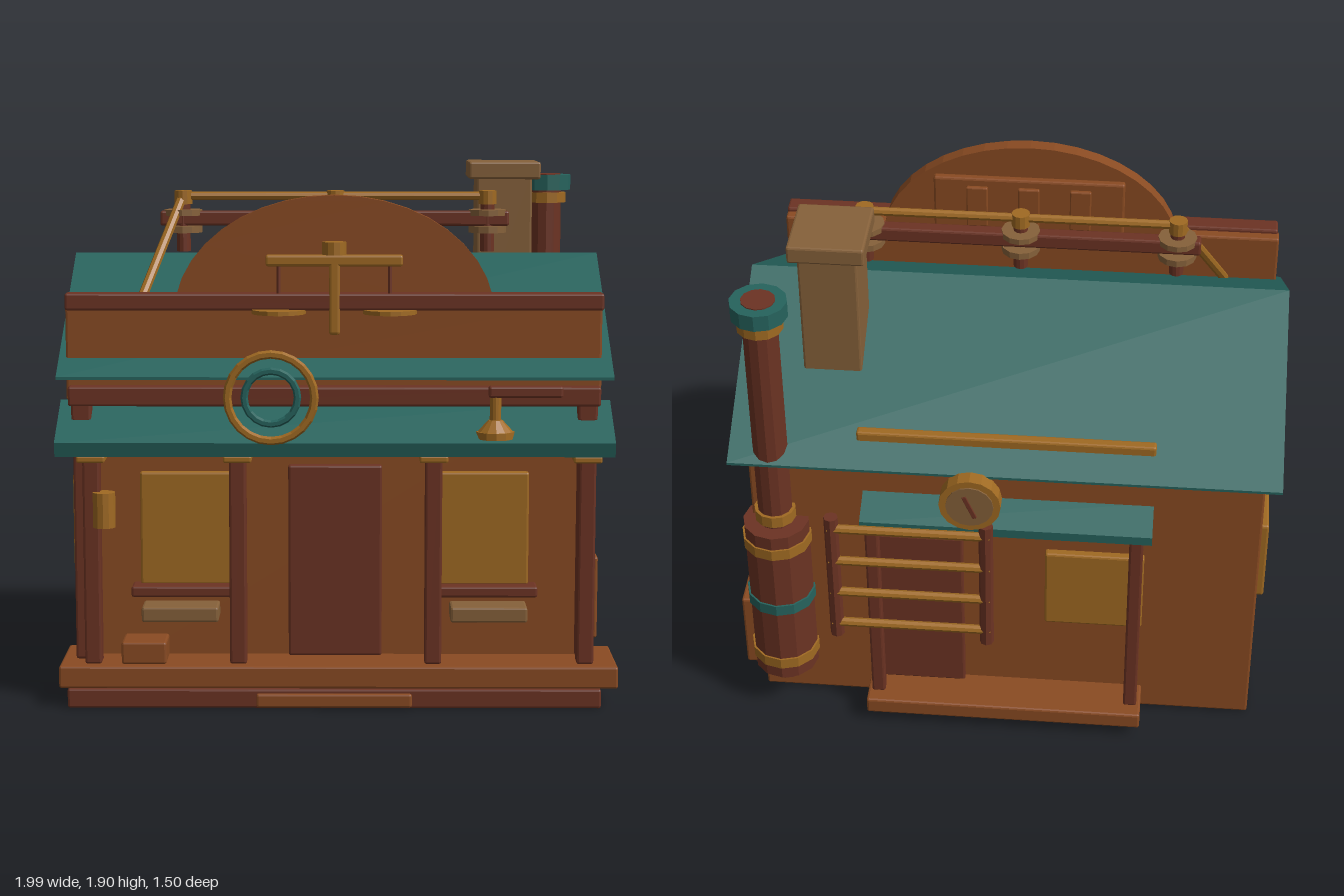
import * as THREE from 'three';
import { RoundedBoxGeometry } from 'three/addons/geometries/RoundedBoxGeometry.js';

const mat = (name, color) => {
  const m = new THREE.MeshStandardMaterial({ color });
  m.name = name;
  return m;
};

export function createModel() {
  const root = new THREE.Group();
  root.name = 'townHouse';
  const wall = mat('wallWood', 0x8a4b22);
  const dark = mat('darkWood', 0x6c3323);
  const gold = mat('brass', 0xa06a22);
  const teal = mat('tealPaint', 0x26635d);
  const tan = mat('tanStone', 0x86613a);

  // Faceted mesh helper
  const add = (name, geo, m) => {
    const g = geo.index ? geo.toNonIndexed() : geo;
    g.computeVertexNormals();
    const mesh = new THREE.Mesh(g, m);
    mesh.name = name;
    root.add(mesh);
    return mesh;
  };
  // Chamfered box given by its ranges
  const box = (name, m, x0, x1, y0, y1, z0, z1) => {
    const s = [x1 - x0, y1 - y0, z1 - z0];
    const mesh = add(name, new RoundedBoxGeometry(...s, 1, Math.min(0.008, Math.min(...s) * 0.25)), m);
    mesh.position.set((x0 + x1) / 2, (y0 + y1) / 2, (z0 + z1) / 2);
    return mesh;
  };
  // Upright cylinder from y0 to y1
  const cyl = (name, m, x, z, y0, y1, r, rTop = r, sides = 12) => {
    const mesh = add(name, new THREE.CylinderGeometry(rTop, r, y1 - y0, sides), m);
    mesh.position.set(x, (y0 + y1) / 2, z);
    return mesh;
  };
  // Rod between two points
  const rod = (name, m, a, b, r) => {
    const p = new THREE.Vector3(...a), q = new THREE.Vector3(...b);
    const mesh = add(name, new THREE.CylinderGeometry(r, r, p.distanceTo(q), 8), m);
    mesh.position.copy(p).lerp(q, 0.5);
    mesh.quaternion.setFromUnitVectors(new THREE.Vector3(0, 1, 0), q.sub(p).normalize());
    return mesh;
  };
  // Side profile of [z, y] points extruded along x
  const alongX = (name, m, pts, x0, x1) => {
    const shape = new THREE.Shape(pts.map(([z, y]) => new THREE.Vector2(-z, y)));
    const mesh = add(name, new THREE.ExtrudeGeometry(shape, { depth: x1 - x0, bevelEnabled: false }), m);
    mesh.rotation.y = Math.PI / 2;
    mesh.position.x = x0;
    return mesh;
  };

  // Body and main roof
  box('body', wall, -0.935, 0.91, 0.01, 1.175, -0.58, 0.52);
  alongX('roof', teal, [[0.655, 1.165], [0.655, 1.175], [0, 1.565], [-0.67, 1.175], [-0.67, 1.165]], -0.99, 0.965);
  box('roofBattenBack', gold, -0.545, 0.515, 1.22, 1.265, -0.575, -0.535);

  // Porch floor, step and roof
  box('porchBase', dark, -0.96, 0.93, 0, 0.07, 0.39, 0.715);
  box('porchFloor', wall, -0.99, 0.99, 0.07, 0.15, 0.39, 0.71);
  box('frontStep', wall, -0.29, 0.26, 0.005, 0.055, 0.6, 0.728);
  alongX('porchRoof', teal, [[0.5, 1.075], [0.5, 1.025], [0.7, 0.9], [0.71, 0.95]], -0.993, 0.968);
  for (const x of [-0.87, -0.355, 0.335, 0.875]) {
    box('porchPost', dark, x - 0.03, x + 0.03, 0.15, 0.92, 0.61, 0.675);
    box('postCap', gold, x - 0.05, x + 0.05, 0.875, 0.9, 0.6, 0.685);
  }
  for (const x of [-0.91, 0.88]) {
    box('cornerPilaster', dark, x - 0.03, x + 0.03, 0.15, 1.08, 0.515, 0.6);
    box('beamBracket', dark, x - 0.035, x + 0.035, 1.01, 1.075, 0.54, 0.6);
  }

  // Door, windows, sills and shelves
  box('frontDoor', dark, -0.18, 0.155, 0.15, 0.845, 0.5, 0.55);
  for (const x of [-0.545, 0.515]) {
    box('frontWindow', gold, x - 0.165, x + 0.165, 0.41, 0.82, 0.5, 0.545);
    box('windowSill', dark, x - 0.195, x + 0.195, 0.375, 0.415, 0.5, 0.6);
  }
  for (const x of [-0.555, 0.528]) box('shelf', tan, x - 0.135, x + 0.135, 0.32, 0.375, 0.64, 0.755);
  box('porchCrate', wall, -0.77, -0.61, 0.15, 0.23, 0.54, 0.68);
  cyl('postLantern', gold, -0.825, 0.672, 0.645, 0.77, 0.04);
  for (const z of [0.195, -0.28]) {
    box('leftWindow', gold, 0.89, 0.94, 0.445, 0.785, z - 0.15, z + 0.15);
    box('rightWindow', gold, -0.97, -0.92, 0.445, 0.785, z - 0.15 + 0.03, z + 0.15 + 0.03);
  }

  // False front with arch and beams
  box('falseFront', wall, -0.965, 0.93, 1.08, 1.45, 0.5, 0.56);
  const arch = new THREE.Shape();
  for (let i = 0; i <= 20; i++) {
    const a = Math.PI * i / 20;
    arch[i ? 'lineTo' : 'moveTo'](0.565 * Math.cos(a), 0.42 * Math.sin(a));
  }
  add('arch', new THREE.ExtrudeGeometry(arch, { depth: 0.055, bevelEnabled: false }), wall).position.set(-0.015, 1.385, 0.502);
  box('upperBeam', dark, -0.96, 0.93, 1.405, 1.465, 0.54, 0.615);
  box('lowerBeam', dark, -0.955, 0.925, 1.065, 1.135, 0.54, 0.61);
  box('backPlaque', wall, -0.375, 0.345, 1.47, 1.7, 0.437, 0.47);
  for (const x of [-0.21, -0.015, 0.18]) box('plaqueStud', wall, x - 0.04, x + 0.04, 1.5, 1.67, 0.42, 0.44);

  // Balance scales
  box('scalePole', gold, -0.033, 0.005, 1.32, 1.6, 0.58, 0.62);
  box('scaleBeam', gold, -0.255, 0.225, 1.56, 1.6, 0.58, 0.62);
  cyl('scaleKnob', gold, -0.015, 0.6, 1.6, 1.645, 0.042);
  for (const x of [-0.21, 0.18]) {
    cyl('scalePan', gold, x, 0.6, 1.393, 1.408, 0.095, 0.095, 16);
    cyl('scaleChain', dark, x, 0.6, 1.4, 1.57, 0.008, 0.008, 6);
  }

  // Ring emblem
  add('emblemOuterRing', new THREE.TorusGeometry(0.152, 0.015, 6, 24), gold).position.set(-0.235, 1.11, 0.71);
  add('emblemInnerRing', new THREE.TorusGeometry(0.093, 0.013, 6, 20), teal).position.set(-0.235, 1.11, 0.705);

  // Porch lamp on its arm
  box('lampArm', dark, 0.525, 0.785, 1.105, 1.145, 0.635, 0.68);
  cyl('lampStem', gold, 0.55, 0.655, 1.02, 1.11, 0.02);
  cyl('lampShade', gold, 0.55, 0.655, 0.985, 1.025, 0.062, 0.025);
  cyl('lampRim', gold, 0.55, 0.655, 0.96, 0.985, 0.068);

  // Roof rail with insulators and wire rods
  box('ridgeRail', dark, -0.665, 0.63, 1.67, 1.725, 0.035, 0.09);
  for (const x of [-0.58, -0.015, 0.55]) {
    cyl('insulatorStub', dark, x, 0.065, 1.575, 1.76, 0.026);
    cyl('insulatorLowerDisc', tan, x, 0.065, 1.645, 1.67, 0.07);
    cyl('insulatorUpperDisc', tan, x, 0.065, 1.708, 1.73, 0.07);
    cyl('insulatorCap', gold, x, 0.065, 1.75, 1.8, 0.033);
  }
  rod('wireRod', gold, [-0.6, 1.78, 0.065], [0.57, 1.78, 0.065], 0.016);
  rod('slantedRod', gold, [-0.58, 1.785, 0.065], [-0.765, 1.28, 0.48], 0.018);

  // Chimney
  box('chimney', tan, 0.52, 0.73, 1.25, 1.85, -0.345, -0.115);
  box('chimneyCap', tan, 0.49, 0.76, 1.835, 1.9, -0.375, -0.09);

  // Boiler tank and stove pipe
  const px = 0.82, pz = -0.6;
  cyl('stovePipe', dark, px, pz, 0.8, 1.8, 0.063);
  cyl('pipeCap', teal, px, pz, 1.775, 1.835, 0.1);
  cyl('pipeMouth', dark, px, pz, 1.83, 1.839, 0.06);
  cyl('pipeBand', gold, px, pz, 1.725, 1.765, 0.082);
  cyl('pipeCollar', gold, px, pz, 0.885, 0.93, 0.075);
  cyl('tank', dark, px, pz, 0.18, 0.87, 0.12);
  cyl('tankFoot', dark, px, pz, 0.12, 0.18, 0.06);
  for (const [y, m] of [[0.255, gold], [0.525, teal], [0.795, gold]]) cyl('tankBand', m, px, pz, y - 0.022, y + 0.022, 0.127);

  // Crate on the left wall with items on top
  box('sideCrate', wall, 0.9, 0.995, 0.07, 0.39, -0.53, -0.05);
  box('crateTin', gold, 0.9, 0.975, 0.39, 0.46, -0.265, -0.13);
  cyl('crateBottle', gold, 0.945, -0.395, 0.43, 0.56, 0.036);

  // Back porch
  box('backPlatform', wall, -0.53, 0.5, 0.05, 0.115, -0.745, -0.57);
  box('backDoor', dark, 0.14, 0.455, 0.11, 0.82, -0.605, -0.57);
  box('backWindow', gold, -0.52, -0.16, 0.44, 0.775, -0.61, -0.57);
  alongX('backAwning', teal, [[-0.57, 1.01], [-0.695, 0.955], [-0.695, 0.92], [-0.57, 0.975]], -0.545, 0.5);
  for (const x of [-0.49, 0.46]) box('backPost', dark, x - 0.025, x + 0.025, 0.11, 0.94, -0.69, -0.645);

  // Rack with rungs
  for (const x of [0.045, 0.6]) cyl('rackRail', dark, x, -0.705, 0.42, 0.98, 0.026, 0.026, 8);
  for (let i = 0; i < 4; i++) {
    const y = 0.48 + i * 0.15;
    rod('rackRung', gold, [0.03, y, -0.71], [0.615, y, -0.71], 0.017);
  }

  // Gauge
  const disc = (name, m, r, z, d) => {
    const g = cyl(name, m, 0.1, z, 1.08 - d / 2, 1.08 + d / 2, r, r, 16);
    g.rotation.x = Math.PI / 2;
  };
  disc('gaugeRim', gold, 0.11, -0.695, 0.055);
  disc('gaugeFace', tan, 0.085, -0.724, 0.008);
  box('gaugeHand', dark, 0.092, 0.108, 1.03, 1.13, -0.734, -0.727).rotation.z = -0.4;
  rod('gaugeMount', dark, [0.1, 1.08, -0.57], [0.1, 1.08, -0.68], 0.02);

  return root;
}
